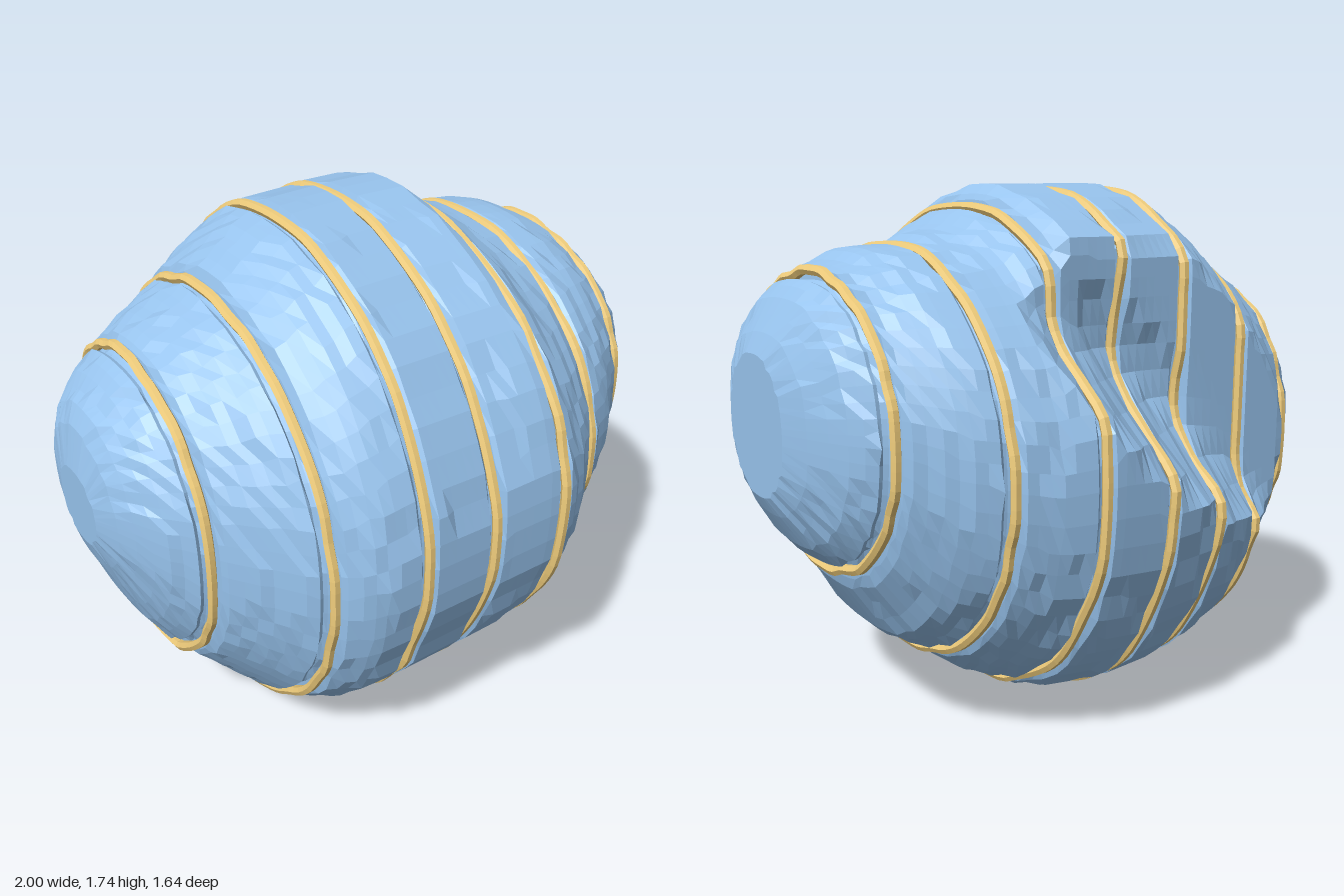
import * as THREE from 'three';

// Cross-sections along x: [x, yMin, yMax, zBack, zFront]
const STATIONS = [
  [-1.00, 0.80, 1.06, -0.18, 0.10],
  [-0.96, 0.68, 1.22, -0.33, 0.22],
  [-0.88, 0.48, 1.31, -0.44, 0.34],
  [-0.78, 0.32, 1.40, -0.52, 0.44],
  [-0.52, 0.07, 1.56, -0.68, 0.70],
  [-0.40, 0.02, 1.66, -0.73, 0.78],
  [-0.25, 0.00, 1.74, -0.77, 0.80],
  [0.01, 0.00, 1.74, -0.82, 0.80],
  [0.22, 0.04, 1.74, -0.83, 0.82],
  [0.28, 0.08, 1.69, -0.83, 0.82],
  [0.42, 0.15, 1.60, -0.79, 0.75],
  [0.55, 0.25, 1.57, -0.75, 0.65],
  [0.68, 0.33, 1.56, -0.68, 0.59],
  [0.82, 0.55, 1.50, -0.57, 0.48],
  [0.91, 0.64, 1.42, -0.46, 0.40],
  [0.97, 0.74, 1.32, -0.32, 0.28],
  [1.00, 0.80, 1.25, -0.21, 0.19],
];
const BANDS = [-0.78, -0.52, -0.25, 0.01, 0.28, 0.55, 0.82];
const SIDES = 60;
const GRID = 0.05;

function station(x) {
  let i = 0;
  while (i < STATIONS.length - 2 && x > STATIONS[i + 1][0]) i++;
  const a = STATIONS[i], b = STATIONS[i + 1];
  const t = THREE.MathUtils.clamp((x - a[0]) / (b[0] - a[0]), 0, 1);
  return a.map((v, k) => THREE.MathUtils.lerp(v, b[k], t));
}

// pull a coordinate part of the way to a coarse grid, giving worn terraces
const terrace = (v) => THREE.MathUtils.lerp(v, Math.round(v / GRID) * GRID, 0.3);

// One closed outline at x, moved inwards by inset
function section(x, inset, sides) {
  const [, y0, y1, zb, zf] = station(x);
  const yc = (y0 + y1) / 2, ry = (y1 - y0) / 2 - inset;
  const zc = (zb + zf) / 2 - 0.08 * (1 - x * x);
  const wallY = 1.12 + 0.72 * x;
  // flatter shoulders in the middle, rounder towards the ends
  const shoulder = 2 / (1.85 + 0.25 * Math.abs(x));
  const pts = [];
  for (let j = 0; j < sides; j++) {
    const t = (j / sides) * Math.PI * 2;
    const c = Math.cos(t), s = Math.sin(t);
    const rz = (c > 0 ? zf - zc : zc - zb) - inset;
    const bump = c < 0 && x < 0.24;
    const power = s < 0 || bump ? 2 / 2.1 : shoulder;
    const y = yc + ry * Math.sign(s) * Math.abs(s) ** power;
    let z = zc + rz * Math.sign(c) * Math.abs(c) ** power;
    // upright back wall above a slanting fold, hollowed just over the fold
    const open = THREE.MathUtils.smoothstep(y, wallY - 0.38, wallY + 0.06);
    const hollow = 0.05 * Math.exp(-(((y - wallY - 0.12) / 0.12) ** 2) - (((x + 0.05) / 0.2) ** 2));
    z = Math.max(z, THREE.MathUtils.lerp(-0.88, -0.545 + hollow, open) + inset);
    pts.push(new THREE.Vector3(x, terrace(y), terrace(z)));
  }
  return pts;
}

// Loft a list of outlines and close both ends
function loft(rows) {
  const n = rows[0].length, pos = [], index = [];
  rows.forEach((row) => row.forEach((p) => pos.push(p.x, p.y, p.z)));
  for (let i = 0; i < rows.length - 1; i++) {
    for (let j = 0; j < n; j++) {
      const a = i * n + j, b = i * n + ((j + 1) % n);
      index.push(a, a + n, b, b, a + n, b + n);
    }
  }
  [[0, false], [rows.length - 1, true]].forEach(([r, flip]) => {
    const c = new THREE.Vector3();
    rows[r].forEach((p) => c.addScaledVector(p, 1 / n));
    const k = pos.length / 3;
    pos.push(c.x, c.y, c.z);
    for (let j = 0; j < n; j++) {
      const a = r * n + j, b = r * n + ((j + 1) % n);
      index.push(k, flip ? b : a, flip ? a : b);
    }
  });
  const g = new THREE.BufferGeometry();
  g.setAttribute('position', new THREE.Float32BufferAttribute(pos, 3));
  g.setIndex(index);
  g.computeVertexNormals();
  return g;
}

export function createModel() {
  const group = new THREE.Group();
  const shellMat = new THREE.MeshStandardMaterial({ color: 0x98c4ee, flatShading: true });
  const bandMat = new THREE.MeshStandardMaterial({ color: 0xf0cd7c, flatShading: true });

  // Shell slices with rounded rims, separated by grooves
  const edges = [-1, ...BANDS, 1];
  for (let i = 0; i < edges.length - 1; i++) {
    const first = i === 0, last = i === edges.length - 2;
    const a = edges[i] + (first ? 0 : 0.016), b = edges[i + 1] - (last ? 0 : 0.016);
    const rows = [];
    if (!first) rows.push([a - 0.016, 0.05], [a, 0.045], [a + 0.004, 0.022]);
    const steps = Math.ceil((b - a) / 0.04);
    for (let k = 0; k <= steps; k++) {
      const x = THREE.MathUtils.lerp(first ? a : a + 0.016, last ? b : b - 0.016, k / steps);
      rows.push([x, 0.005]);
    }
    if (!last) rows.push([b - 0.004, 0.022], [b, 0.045], [b + 0.016, 0.05]);
    const slice = new THREE.Mesh(loft(rows.map(([x, d]) => section(x, d, SIDES))), shellMat);
    slice.name = 'shellSlice' + (i + 1);
    group.add(slice);
  }

  // Gold bands lying in the grooves
  BANDS.forEach((x, i) => {
    const path = new THREE.CatmullRomCurve3(section(x, 0.016, 48), true, 'centripetal');
    const band = new THREE.Mesh(new THREE.TubeGeometry(path, 110, 0.017, 6, true), bandMat);
    band.name = 'band' + (i + 1);
    group.add(band);
  });
  return group;
}
